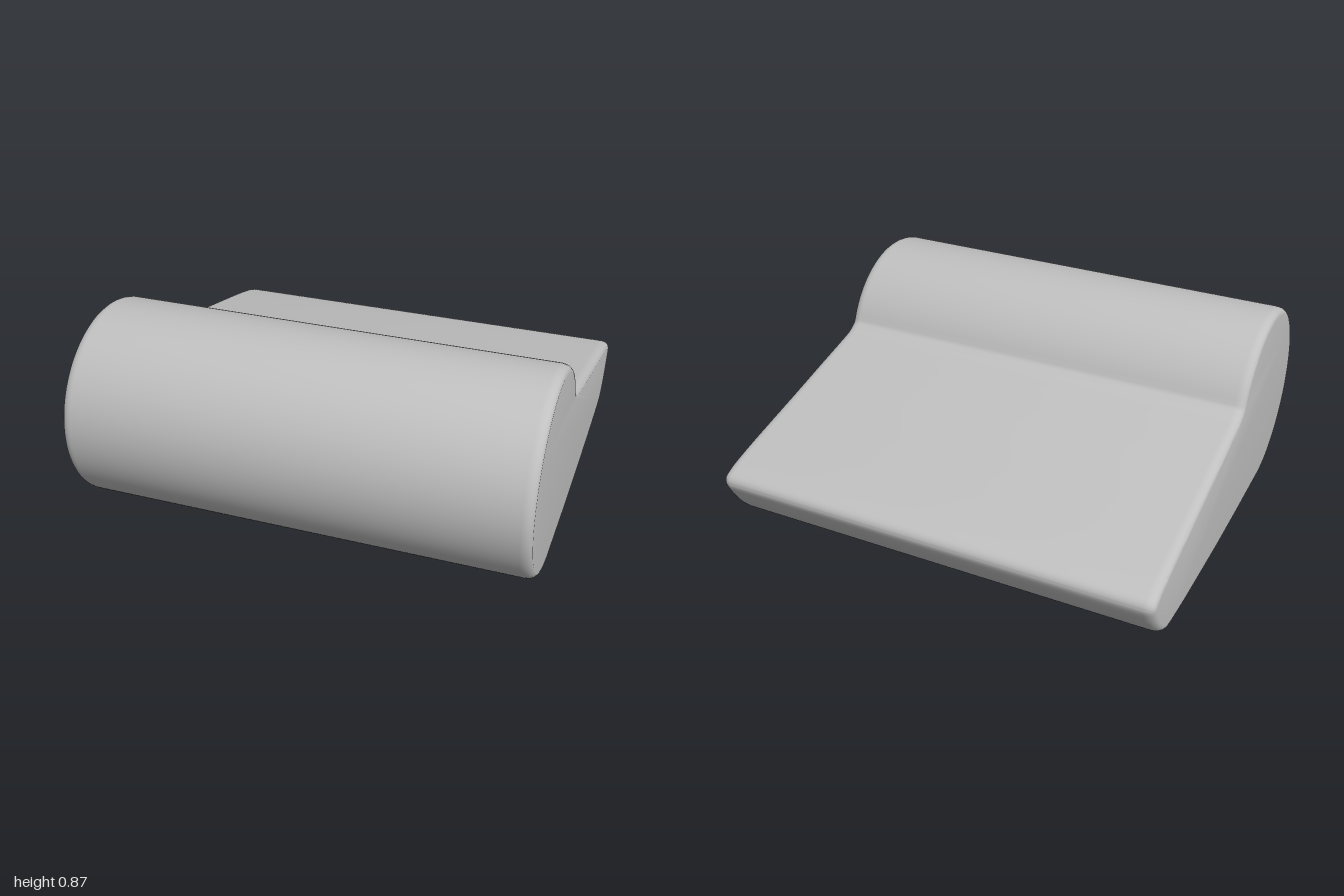
import * as THREE from 'three';
import { toCreasedNormals } from 'three/addons/utils/BufferGeometryUtils.js';

const WIDTH = 2;
const BEVEL = 0.045;   // depth of the rounded rim along x
const INSET = 0.03;    // how far the end faces shrink

// Side outline, drawn as (z, y): a round roll in front and a tapering wedge behind
function sideProfile() {
  const shape = new THREE.Shape();
  const cz = 0.523, cy = 0.438, r = 0.437;
  const start = Math.atan2(0.61 - cy, 0.125 - cz);
  const points = [];
  // flat underside, rear to front
  points.push([-0.4, 0.027], [-0.1, 0.01], [0.2, 0.003], [0.45, 0.002]);
  // roll, from the bottom round the front and over the top
  const steps = 72;
  for (let i = 0; i <= steps; i++) {
    const a = -Math.PI / 2 + (start + Math.PI / 2) * i / steps;
    points.push([cz + r * Math.cos(a), cy + r * Math.sin(a)]);
  }
  // sloping top, rounded tail and undercut back
  const tail = new THREE.CatmullRomCurve3([
    [0.115, 0.6], [0.07, 0.575], [0, 0.557], [-0.2, 0.512], [-0.4, 0.466],
    [-0.6, 0.422], [-0.8, 0.376], [-0.9, 0.347], [-0.946, 0.322], [-0.957, 0.292],
    [-0.935, 0.235], [-0.885, 0.155], [-0.83, 0.095], [-0.77, 0.064], [-0.68, 0.05], [-0.55, 0.037],
  ].map(([z, y]) => new THREE.Vector3(z, y, 0)), false, 'centripetal');
  tail.getPoints(75).forEach((p) => points.push([p.x, p.y]));
  shape.setFromPoints(points.map(([z, y]) => new THREE.Vector2(z, y)));
  return shape;
}

export function createModel() {
  const group = new THREE.Group();
  group.name = 'cushion';
  const grey = new THREE.MeshStandardMaterial({ color: 0xc0c0c0 });
  grey.name = 'light grey';

  // Profile swept across the width with softly rounded ends
  const geometry = new THREE.ExtrudeGeometry(sideProfile(), {
    depth: WIDTH - 2 * BEVEL,
    bevelEnabled: true,
    bevelThickness: BEVEL,
    bevelSize: INSET,
    bevelOffset: -INSET,
    bevelSegments: 5,
  });
  geometry.translate(0, 0, -(WIDTH / 2 - BEVEL));
  geometry.rotateY(-Math.PI / 2);

  const body = new THREE.Mesh(toCreasedNormals(geometry, 0.55), grey);
  body.name = 'cushionBody';
  group.add(body);
  return group;
}
